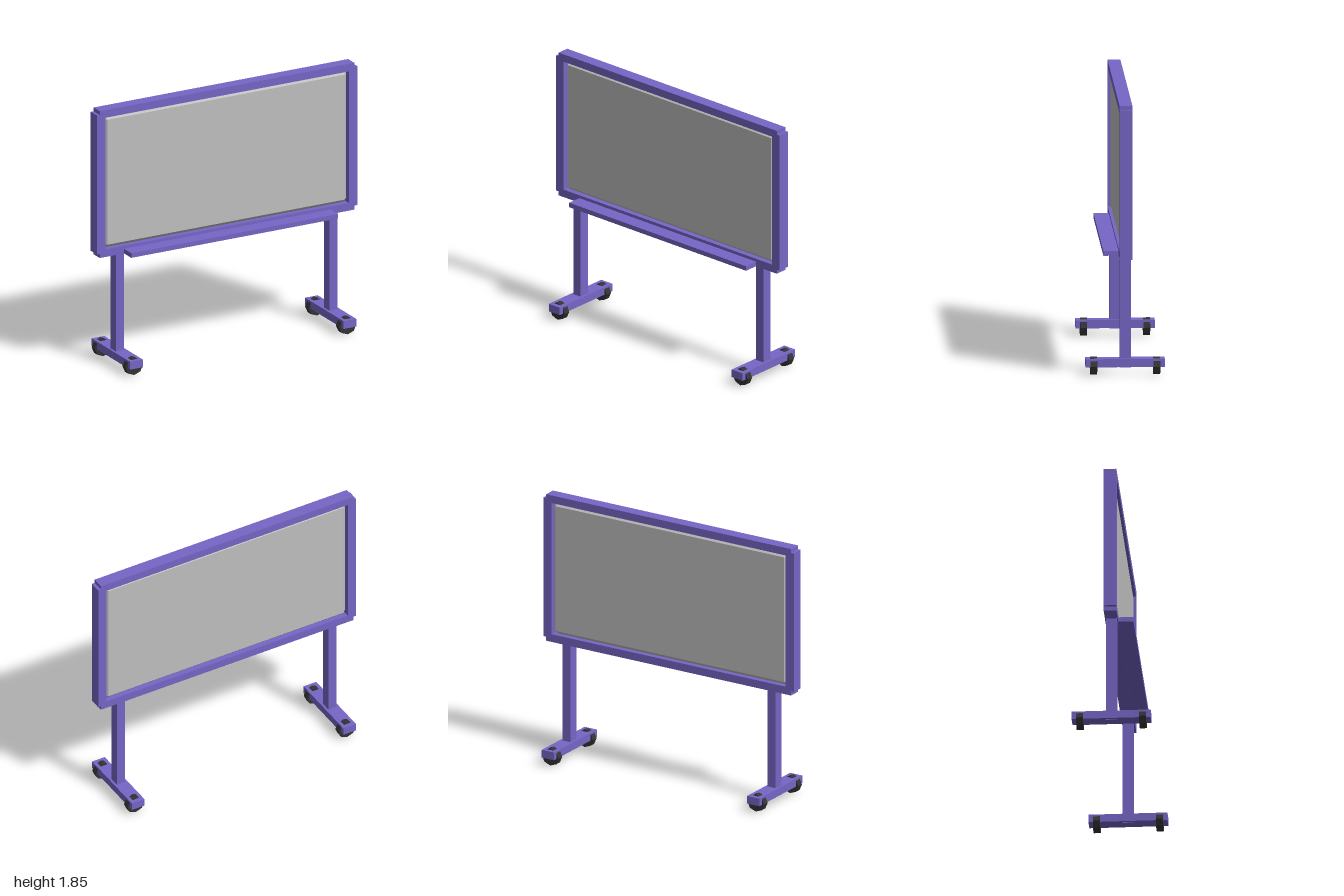
import * as THREE from 'three';
import { ConvexGeometry } from 'three/addons/geometries/ConvexGeometry.js';

const material = (name, color, flatShading = false) => {
  const m = new THREE.MeshStandardMaterial({ color, flatShading });
  m.name = name;
  return m;
};

// Box given by its lower and upper bounds on each axis
function box(name, mat, [x0, x1], [y0, y1], [z0, z1]) {
  const mesh = new THREE.Mesh(new THREE.BoxGeometry(x1 - x0, y1 - y0, z1 - z0), mat);
  mesh.position.set((x0 + x1) / 2, (y0 + y1) / 2, (z0 + z1) / 2);
  mesh.name = name;
  return mesh;
}

// Box with every edge chamfered by c; a, b, d are half sizes
function chamferedBox(a, b, d, c) {
  const points = [];
  for (const x of [-1, 1]) for (const y of [-1, 1]) for (const z of [-1, 1]) {
    points.push(
      new THREE.Vector3(x * a, y * (b - c), z * (d - c)),
      new THREE.Vector3(x * (a - c), y * b, z * (d - c)),
      new THREE.Vector3(x * (a - c), y * (b - c), z * d));
  }
  return new ConvexGeometry(points);
}

export function createModel() {
  const purple = material('purple frame', 0x7766c6);
  const grey = material('grey board', 0xc0c0c0, true);
  const dark = material('dark rubber', 0x333333, true);
  const model = new THREE.Group();
  model.name = 'rollingBoard';

  // Writing panel, recessed equally on both sides
  const panel = new THREE.Mesh(chamferedBox(0.937, 0.472, 0.027, 0.026), grey);
  panel.position.y = 1.326;
  panel.name = 'boardPanel';
  model.add(panel);

  // Frame bars
  const depth = [-0.043, 0.043];
  model.add(
    box('topBar', purple, [-0.978, 0.978], [1.796, 1.85], depth),
    box('bottomBar', purple, [-0.978, 0.978], [0.802, 0.857], depth),
    box('rightBar', purple, [-1, -0.935], [0.831, 1.823], depth),
    box('leftBar', purple, [0.935, 1], [0.831, 1.823], depth));

  // Pen tray on the front
  model.add(box('tray', purple, [-0.793, 0.793], [0.803, 0.836], [0.04, 0.145]));

  // Stand: post, foot and two eight-sided wheels on each side
  const wheelShape = new THREE.CylinderGeometry(0.066, 0.066, 0.046, 8);
  wheelShape.rotateX(Math.PI / 2);
  wheelShape.scale(1, 0.92, 1);
  for (const side of [-1, 1]) {
    const stand = new THREE.Group();
    stand.name = side > 0 ? 'leftStand' : 'rightStand';
    stand.position.x = side * 0.82;
    stand.add(
      box('post', purple, [-0.032, 0.032], [0.052, 0.81], [-0.037, 0.037]),
      box('foot', purple, [-0.049, 0.049], [0.057, 0.112], [-0.266, 0.266]));
    for (const z of [-0.212, 0.212]) {
      const wheel = new THREE.Mesh(wheelShape, dark);
      wheel.position.set(0, 0.061, z);
      wheel.name = z > 0 ? 'frontWheel' : 'backWheel';
      stand.add(wheel);
    }
    model.add(stand);
  }
  return model;
}
